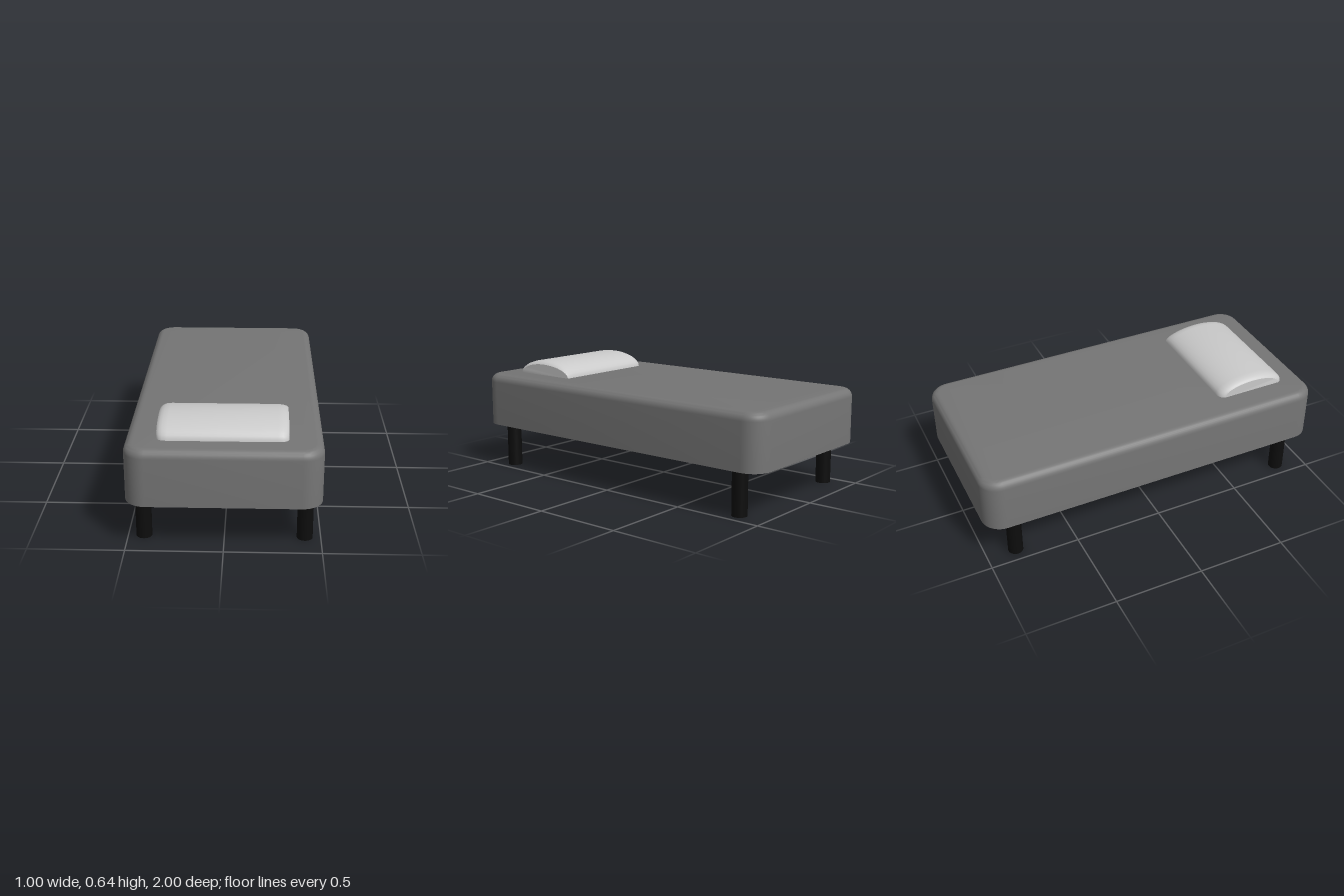
import * as THREE from 'three';
import { toCreasedNormals } from 'three/addons/utils/BufferGeometryUtils.js';

// Joins equal-length closed rings into a skin with a flat cap at each end.
function loft(rings) {
  const n = rings[0].length, index = [];
  for (let i = 0; i < rings.length - 1; i++) {
    for (let j = 0; j < n; j++) {
      const k = (j + 1) % n;
      const a = i * n + j, b = i * n + k, c = a + n, d = b + n;
      index.push(a, b, d, a, d, c);
    }
  }
  const last = (rings.length - 1) * n;
  for (let j = 1; j < n - 1; j++) {
    index.push(0, j + 1, j);
    index.push(last, last + j, last + j + 1);
  }
  const geometry = new THREE.BufferGeometry();
  geometry.setAttribute('position', new THREE.Float32BufferAttribute(rings.flat(2), 3));
  geometry.setIndex(index);
  return toCreasedNormals(geometry, 0.6);
}

// Rounded rectangle in plan at height y, shrunk by inset.
function planRing(y, inset) {
  const radius = 0.11, steps = 10, ring = [];
  const corners = [[1, -1], [-1, -1], [-1, 1], [1, 1]];
  corners.forEach(([sx, sz], q) => {
    for (let i = 0; i <= steps; i++) {
      const a = (q + i / steps) * Math.PI / 2;
      ring.push([
        sx * (0.5 - radius) + (radius - inset) * Math.cos(a), y,
        sz * (1 - radius) - (radius - inset) * Math.sin(a),
      ]);
    }
  });
  return ring;
}

// Half-elliptical arch across z, with separate rear and front half depths.
function archRing(x, height, rear, front) {
  const ring = [], steps = 20;
  for (let i = 0; i <= steps; i++) {
    const t = (i / steps - 0.5) * Math.PI;
    ring.push([x, 0.553 + height * Math.cos(t), 0.667 + (t < 0 ? rear : front) * Math.sin(t)]);
  }
  return ring;
}

export function createModel() {
  const model = new THREE.Group();
  const mattressGrey = new THREE.MeshStandardMaterial({ color: 0x757575 });
  const pillowGrey = new THREE.MeshStandardMaterial({ color: 0xcacaca });
  const legBlack = new THREE.MeshStandardMaterial({ color: 0x0d0d0d });
  mattressGrey.name = 'mattressGrey';
  pillowGrey.name = 'pillowGrey';
  legBlack.name = 'legBlack';

  const add = (name, geometry, material) => {
    const mesh = new THREE.Mesh(geometry, material);
    mesh.name = name;
    model.add(mesh);
    return mesh;
  };

  // Mattress: straight sides, sharp lower edge, rounded upper edge
  const fillet = 0.045, rings = [planRing(0.25, 0)];
  for (let i = 0; i <= 8; i++) {
    const a = i / 8 * Math.PI / 2;
    rings.push(planRing(0.555 - fillet + fillet * Math.sin(a), fillet * (1 - Math.cos(a))));
  }
  add('mattress', loft(rings), mattressGrey);

  // Pillow: arched section, softened ends; its rear left corner stays square
  const ends = [[0, 0.066, 0.178], [0.006, 0.073, 0.189], [0.016, 0.079, 0.198],
    [0.03, 0.084, 0.205], [0.055, 0.087, 0.207]];
  const rightEnd = ends.map(([d, h, w]) => archRing(-0.34 + d, h, w, w));
  const leftEnd = ends.map(([d, h, w]) => archRing(0.325 - d, h, 0.207, w)).reverse();
  add('pillow', loft([...rightEnd, ...leftEnd]), pillowGrey);

  // Four round legs
  const legGeometry = new THREE.CylinderGeometry(0.0415, 0.0415, 0.25, 32);
  for (const [zName, z] of [['front', 0.835], ['back', -0.835]]) {
    for (const [xName, x] of [['Left', 0.417], ['Right', -0.417]]) {
      add(`${zName}${xName}Leg`, legGeometry, legBlack).position.set(x, 0.125, z);
    }
  }
  return model;
}
